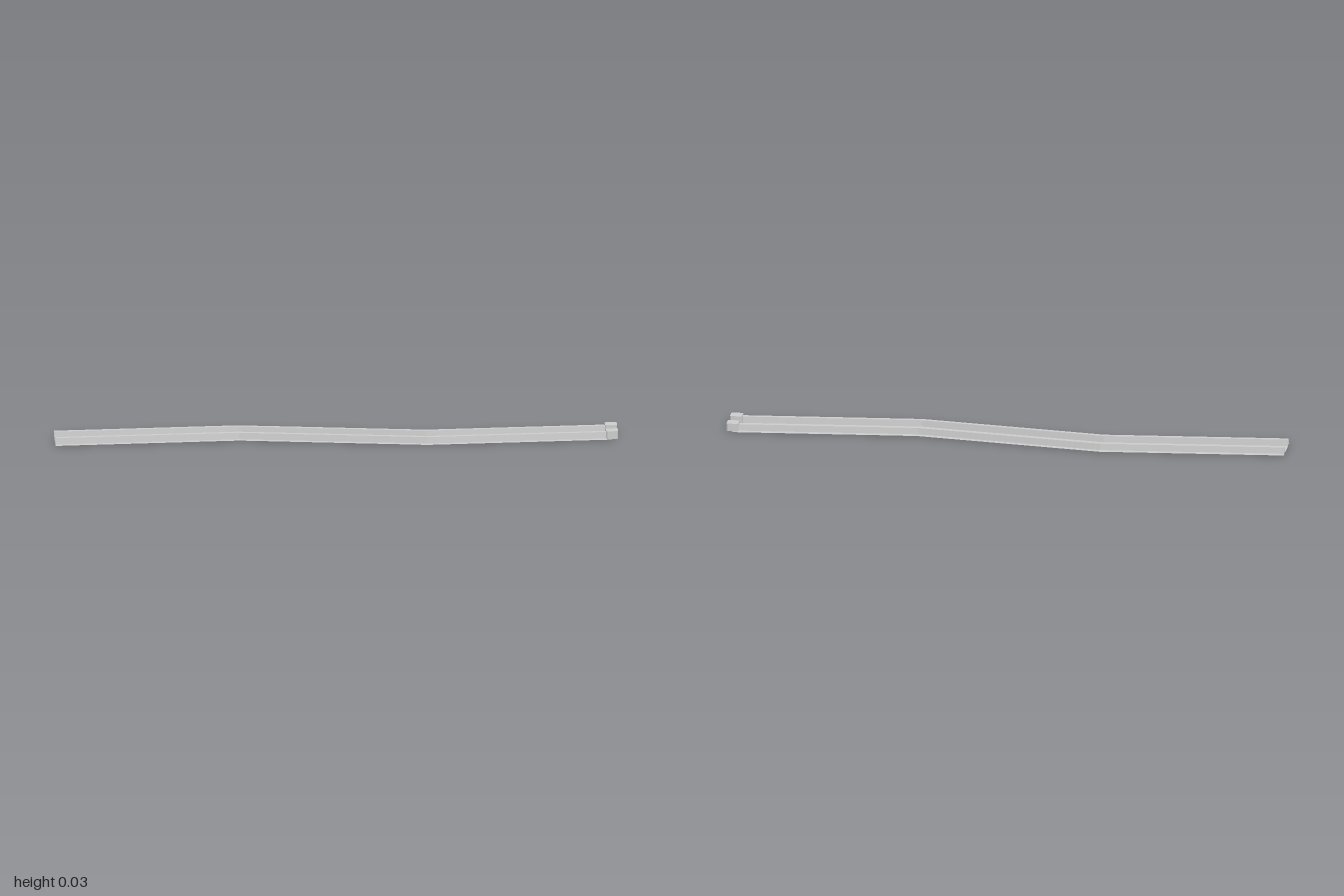
import * as THREE from 'three';

// Centreline of the strip in plan: [x, z]
const PATH = [[-1, 0], [-0.345, -0.047], [0.32, 0.046], [0.977, 0]];

// Open sheet section: [z offset, y], from the back edge to the front edge
const HALF = [[0.076, 0], [0.056, 0], [0.054, 0.023], [0.038, 0.023], [0.036, 0]];
const SECTION = [
  ...HALF.map(([z, y]) => [-z, y]),
  ...HALF.slice().reverse(),
];

// Sweep a run of section points along the path as a flat-faced sheet
function sweep(section) {
  const pos = [];
  const point = (p, s) => [p[0], s[1], p[1] + s[0]];
  for (let i = 0; i < PATH.length - 1; i++) {
    for (let j = 0; j < section.length - 1; j++) {
      const a = point(PATH[i], section[j]);
      const b = point(PATH[i], section[j + 1]);
      const c = point(PATH[i + 1], section[j + 1]);
      const d = point(PATH[i + 1], section[j]);
      pos.push(...a, ...b, ...c, ...a, ...c, ...d);
    }
  }
  const geo = new THREE.BufferGeometry();
  geo.setAttribute('position', new THREE.Float32BufferAttribute(pos, 3));
  geo.computeVertexNormals();
  return geo;
}

// Block with slightly clipped vertical corners
function blockGeometry(size, height, clip) {
  const h = size / 2, k = h - clip;
  const outline = [[h, -k], [h, k], [k, h], [-k, h], [-h, k], [-h, -k], [-k, -h], [k, -h]];
  const shape = new THREE.Shape(outline.map(([x, y]) => new THREE.Vector2(x, y)));
  const geo = new THREE.ExtrudeGeometry(shape, { depth: height, bevelEnabled: false });
  return geo.rotateX(-Math.PI / 2);
}

export function createModel() {
  const group = new THREE.Group();
  const grey = new THREE.MeshStandardMaterial({ color: 0xcccccc, side: THREE.DoubleSide });
  grey.name = 'light grey';

  const add = (name, geo, x = 0, z = 0) => {
    const mesh = new THREE.Mesh(geo, grey);
    mesh.name = name;
    mesh.position.set(x, 0, z);
    group.add(mesh);
  };

  // Strip: outer flanges, two hollow rails and the deck between them
  add('backFlange', sweep(SECTION.slice(0, 2)));
  add('backRail', sweep(SECTION.slice(1, 5)));
  add('deck', sweep(SECTION.slice(4, 6)));
  add('frontRail', sweep(SECTION.slice(5, 9)));
  add('frontFlange', sweep(SECTION.slice(8, 10)));

  // Coupling blocks at the end of each rail
  const block = blockGeometry(0.043, 0.028, 0.004);
  add('backEndBlock', block, 0.9785, -0.0445);
  add('frontEndBlock', block, 0.9785, 0.0445);

  return group;
}
